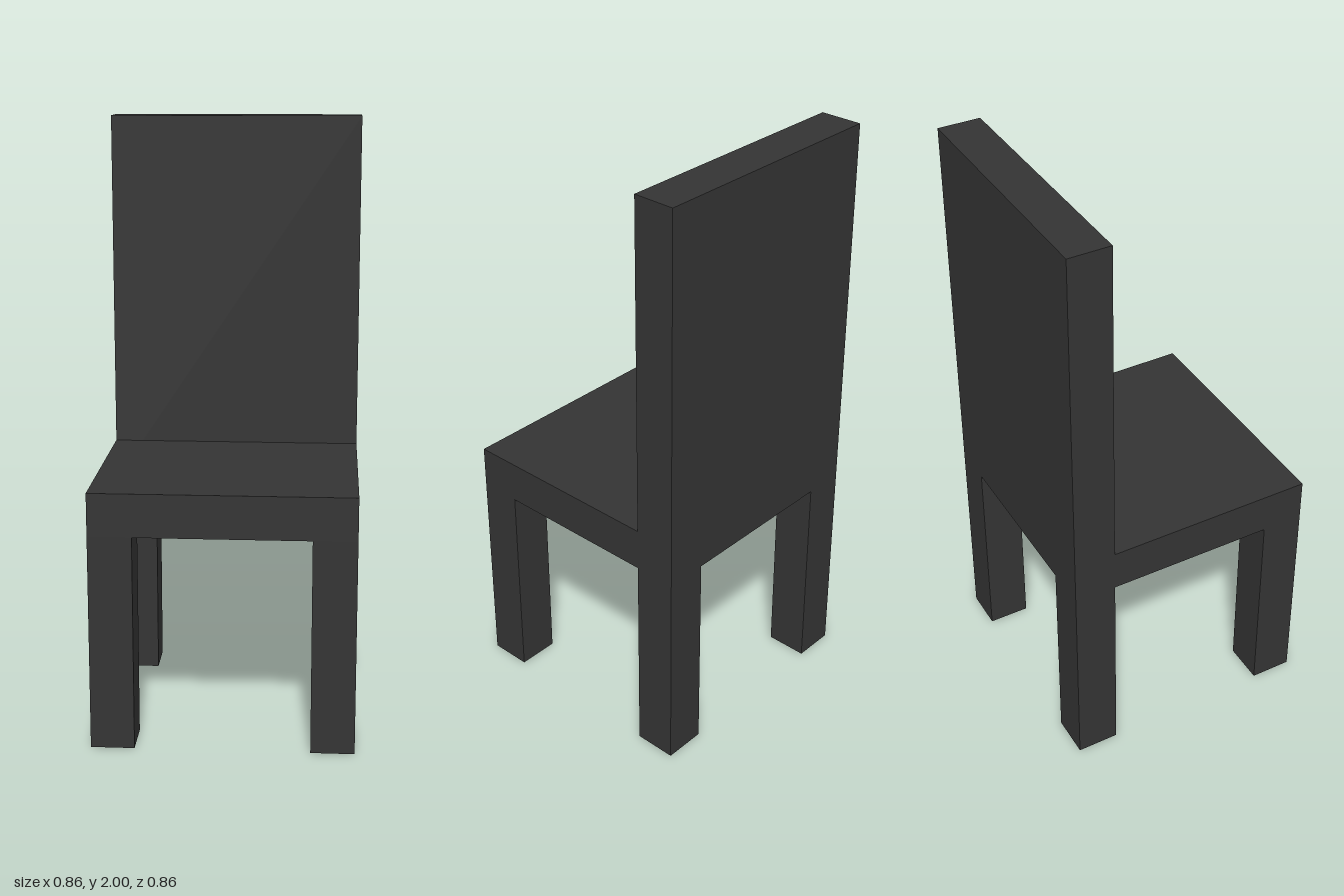
import * as THREE from 'three';

export function createModel() {
  const group = new THREE.Group();
  group.name = 'chair';

  const charcoal = new THREE.MeshStandardMaterial({ color: 0x343434 });
  charcoal.name = 'charcoal';

  // The whole chair follows one module: the thickness of a leg
  const u = 1 / 7;
  const width = 6 * u;
  const half = width / 2;
  const legHeight = 5 * u;
  const height = 2;

  const addBox = (name, w, h, d, x, bottom, z) => {
    const mesh = new THREE.Mesh(new THREE.BoxGeometry(w, h, d), charcoal);
    mesh.name = name;
    mesh.position.set(x, bottom + h / 2, z);
    group.add(mesh);
  };

  // Four square legs at the corners
  for (const [side, sx] of [['Left', 1], ['Right', -1]]) {
    for (const [end, sz] of [['front', 1], ['back', -1]]) {
      addBox(`${end}${side}Leg`, u, legHeight, u, sx * (half - u / 2), 0, sz * (half - u / 2));
    }
  }

  // Seat slab, butting against the backrest
  addBox('seat', width, u, width - u, 0, legHeight, u / 2);

  // Tall backrest, flush with the back legs
  addBox('backrest', width, height - legHeight, u, 0, legHeight, -half + u / 2);

  return group;
}
